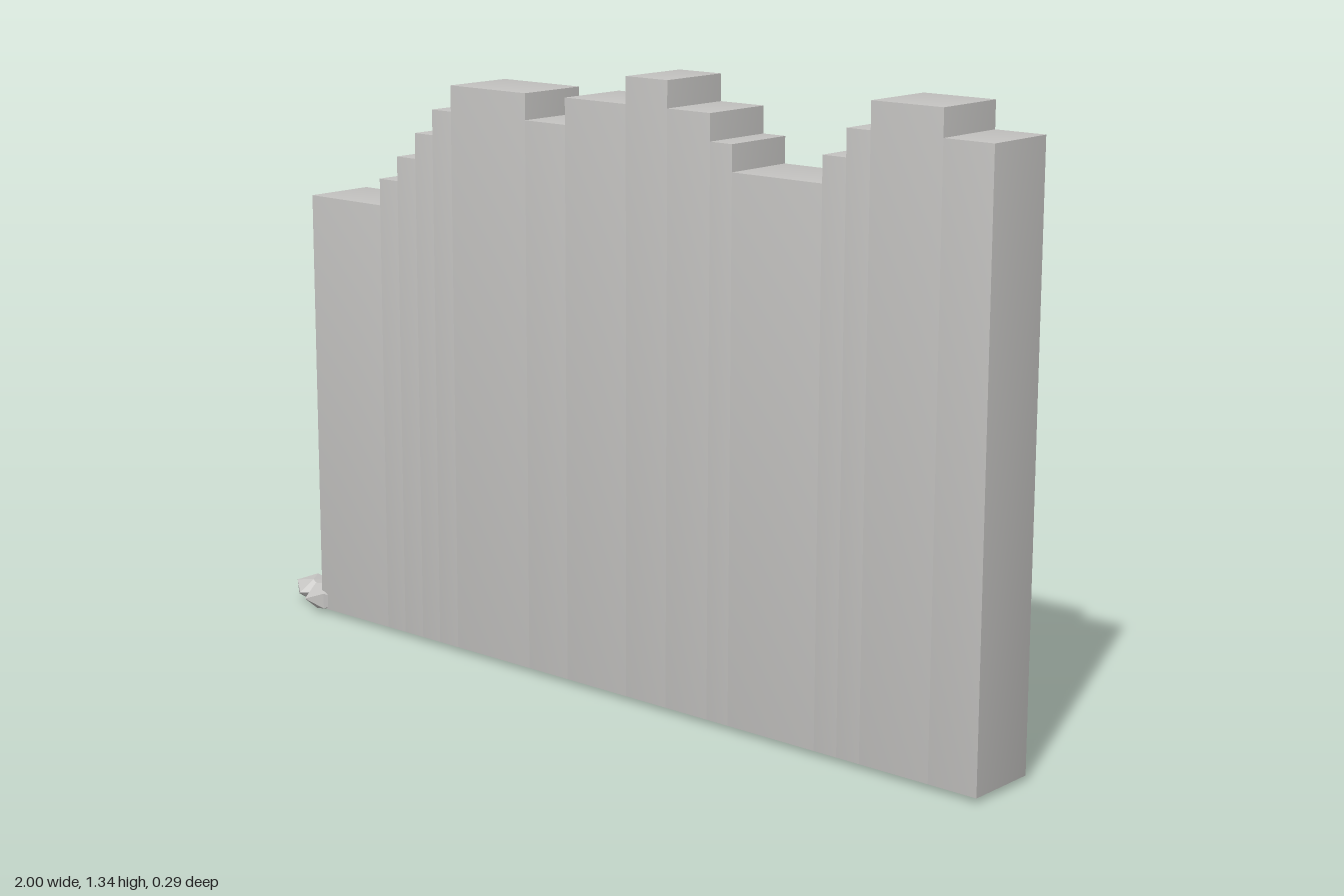
import * as THREE from 'three';

const material = (name, color, flatShading = false) => {
  const m = new THREE.MeshStandardMaterial({ color, flatShading });
  m.name = name;
  return m;
};

export function createModel() {
  const model = new THREE.Group();
  model.name = 'brokenWall';
  const stone = material('wall grey', 0xc2c1bf);
  const sheet = material('panel grey', 0xc4c4c3);
  const steel = material('frame blue grey', 0x929da4);
  const rust = material('stain brown', 0xaa8465);
  const rubble = material('rubble grey', 0xc4c3c1, true);
  const FRONT = 0.11, BACK = -0.058, BASE = 0.018;

  // box given by its limits
  function box(parent, name, mat, x0, x1, y0, y1, z0, z1) {
    const mesh = new THREE.Mesh(new THREE.BoxGeometry(x1 - x0, y1 - y0, z1 - z0), mat);
    mesh.position.set((x0 + x1) / 2, (y0 + y1) / 2, (z0 + z1) / 2);
    mesh.name = name;
    parent.add(mesh);
    return mesh;
  }

  // lean the corner normals slightly outward, so each slab looks softly rounded
  function soften(geometry, amount) {
    const p = geometry.attributes.position, n = geometry.attributes.normal;
    const v = new THREE.Vector3();
    for (let i = 0; i < p.count; i++) {
      v.set(Math.sign(p.getX(i)), Math.sign(p.getY(i)), Math.sign(p.getZ(i))).multiplyScalar(amount);
      v.x += n.getX(i);
      v.y += n.getY(i);
      v.z += n.getZ(i);
      v.normalize();
      n.setXYZ(i, v.x, v.y, v.z);
    }
  }

  // wall slabs with a stepped top: [right edge, top]
  const wall = new THREE.Group();
  wall.name = 'wall';
  model.add(wall);
  let x = -0.865;
  for (const [end, top] of [
    [-0.64, 1.0], [-0.583, 1.06], [-0.525, 1.115], [-0.47, 1.172], [-0.412, 1.228],
    [-0.19, 1.285], [-0.075, 1.228], [0.095, 1.285], [0.207, 1.342], [0.32, 1.285],
    [0.377, 1.228], [0.603, 1.172], [0.66, 1.228], [0.717, 1.285], [0.885, 1.342], [1.0, 1.285],
  ]) {
    soften(box(wall, 'wallSlab', stone, x, end, BASE, top, BACK, FRONT).geometry, 0.1);
    x = end;
  }

  // framed panels on the back, each with a thin streak below:
  // [x0, x1, bottom, top, streak x, streak bottom]
  for (const [x0, x1, y0, y1, sx, sy] of [
    [0.723, 0.888, 0.372, 0.664, 0.805, 0.2],
    [0.38, 0.66, 0.483, 0.834, 0.516, 0.255],
    [0.042, 0.324, 0.436, 0.838, 0.186, 0.2],
    [-0.236, 0.036, 0.548, 0.89, -0.103, 0.43],
    [-0.408, -0.248, 0.382, 0.72, -0.327, 0.33],
    [-0.752, -0.582, 0.38, 0.77, -0.67, 0.155],
  ]) {
    const panel = new THREE.Group();
    panel.name = 'framedPanel';
    model.add(panel);
    const w = 0.014, zf = BACK - 0.004, zp = BACK - 0.003;
    box(panel, 'panelSheet', sheet, x0 + w, x1 - w, y0 + w, y1 - w, zp, BACK);
    box(panel, 'frameSide', steel, x0, x0 + w, y0, y1, zf, BACK);
    box(panel, 'frameSide', steel, x1 - w, x1, y0, y1, zf, BACK);
    box(panel, 'frameBottom', steel, x0 + w, x1 - w, y0, y0 + w, zf, BACK);
    box(panel, 'frameTop', steel, x0 + w, x1 - w, y1 - w, y1, zf, BACK);
    box(panel, 'streak', sheet, sx - 0.005, sx + 0.005, sy, y0, BACK - 0.002, BACK);
  }

  // round stain with drips
  const stain = new THREE.Group();
  stain.name = 'stain';
  model.add(stain);
  const disc = new THREE.Mesh(new THREE.SphereGeometry(0.165, 32, 20), rust);
  disc.name = 'stainDisc';
  disc.scale.z = 0.03;
  disc.position.set(-0.378, 0.942, BACK - 0.006);
  stain.add(disc);
  for (const [dx, top, bottom] of [[-0.265, 0.85, 0.775], [-0.384, 0.82, 0.77], [-0.49, 0.85, 0.77]])
    box(stain, 'stainDrip', rust, dx - 0.011, dx + 0.011, bottom, top, BACK - 0.007, BACK);

  // rubble stones: [x, z, radius, turn]
  const stones = new THREE.Group();
  stones.name = 'rubble';
  model.add(stones);
  for (const [sx, sz, r, turn] of [
    [-0.868, -0.088, 0.05, 0.3], [-0.716, -0.102, 0.05, 1.4],
    [-0.952, 0.052, 0.05, 2.2], [-0.876, 0.08, 0.054, 3.7], [-0.875, 0.028, 0.042, 0.9],
  ]) {
    const geo = new THREE.IcosahedronGeometry(r, 0);
    const p = geo.attributes.position, v = new THREE.Vector3();
    for (let i = 0; i < p.count; i++) {
      v.fromBufferAttribute(p, i);
      v.multiplyScalar(1.03 + 0.07 * Math.sin(v.x * 130 + v.y * 210 + v.z * 170 + turn * 5));
      p.setXYZ(i, v.x, v.y * 0.66, v.z);
    }
    geo.computeVertexNormals();
    const rock = new THREE.Mesh(geo, rubble);
    rock.name = 'rubbleStone';
    rock.position.set(sx, 0.038, sz);
    rock.rotation.y = turn;
    stones.add(rock);
  }
  return model;
}
